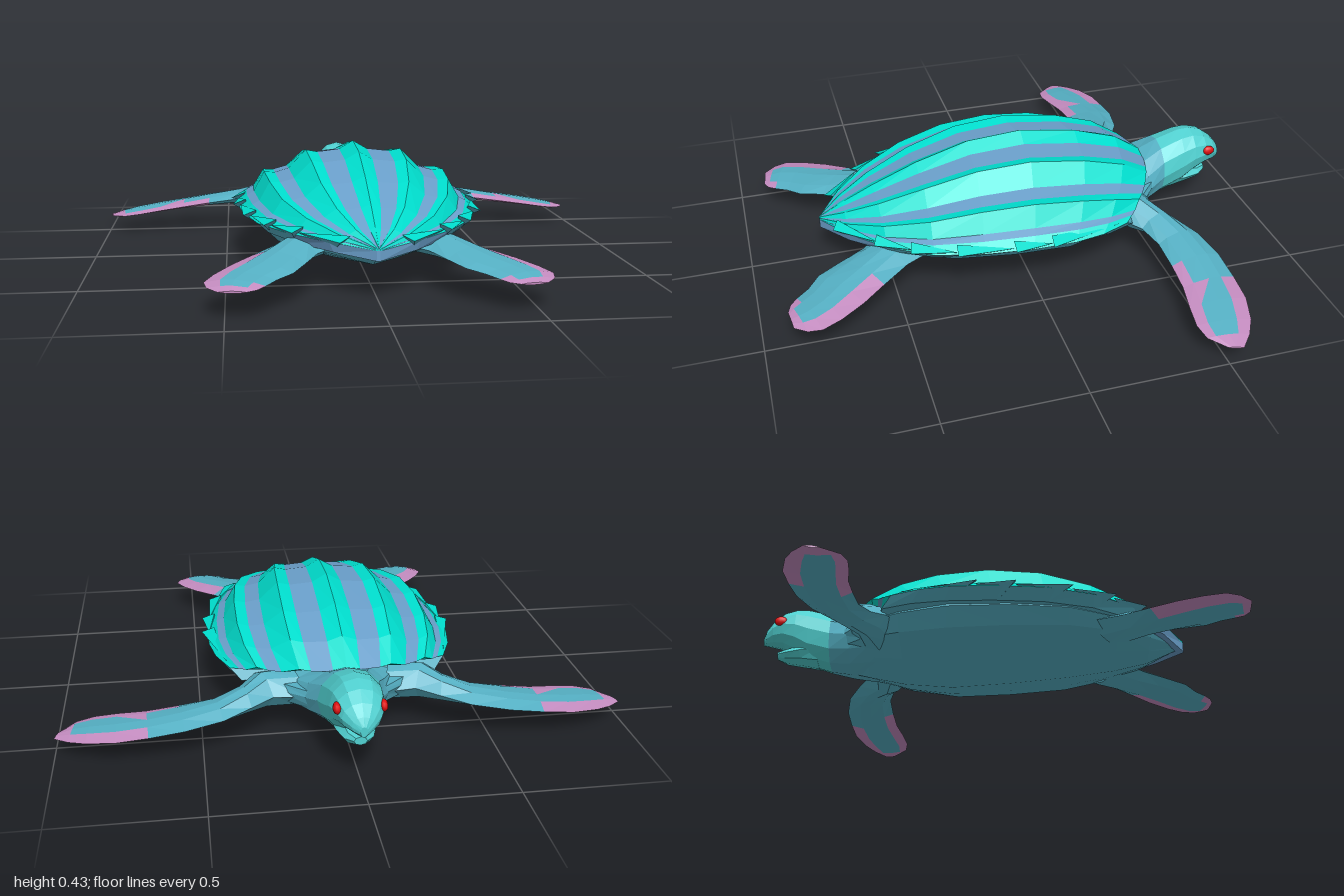
import * as THREE from 'three';

const COLORS = {
  shellTeal: 0x00dece, shellBlue: 0x6a9fca, skinBlue: 0x55b0c4,
  headTeal: 0x50d0d0, flipperPink: 0xc48cc0, eyeRed: 0xe01010,
};
const MAT = {};

// Skins a row of equal-length rings with flat facets; pick(i, j, half) names the colour of a facet.
function loft(name, rings, pick) {
  const byColor = {};
  let volume = 0;
  const tri = (color, a, b, c) => {
    (byColor[color] ||= []).push([a, b, c]);
    volume += a.dot(b.clone().cross(c));
  };
  const n = rings[0].length;
  for (let i = 0; i < rings.length - 1; i++) {
    for (let j = 0; j < n; j++) {
      const k = (j + 1) % n;
      tri(pick(i, j, 0), rings[i][j], rings[i + 1][j], rings[i + 1][k]);
      tri(pick(i, j, 1), rings[i][j], rings[i + 1][k], rings[i][k]);
    }
  }
  // End caps
  [0, rings.length - 1].forEach((i) => {
    const mid = rings[i].reduce((s, p) => s.add(p), new THREE.Vector3()).divideScalar(n);
    for (let j = 0; j < n; j++) {
      const a = rings[i][j], b = rings[i][(j + 1) % n];
      const color = pick(Math.min(i, rings.length - 2), j, 0);
      if (i === 0) tri(color, mid, a, b); else tri(color, mid, b, a);
    }
  });
  const geo = new THREE.BufferGeometry(), pos = [], mats = [];
  for (const color in byColor) {
    geo.addGroup(pos.length / 3, byColor[color].length * 3, mats.length);
    mats.push(MAT[color]);
    for (const [a, b, c] of byColor[color]) {
      for (const p of volume < 0 ? [a, c, b] : [a, b, c]) pos.push(p.x, p.y, p.z);
    }
  }
  geo.setAttribute('position', new THREE.Float32BufferAttribute(pos, 3));
  geo.computeVertexNormals();
  const mesh = new THREE.Mesh(geo, mats);
  mesh.name = name;
  return mesh;
}

const V = (x, y, z) => new THREE.Vector3(x, y, z);

// Shell stations: z, half width, ridge height, rim height, backward bow of the edge
const SHELL = [
  [-0.56, 0.39, 0.265, 0.2, 0.2], [-0.45, 0.435, 0.34, 0.2, 0.2], [-0.28, 0.455, 0.395, 0.2, 0.14],
  [-0.06, 0.455, 0.43, 0.2, 0.08], [0.15, 0.435, 0.415, 0.2, 0.05], [0.35, 0.385, 0.355, 0.195, 0.02],
  [0.52, 0.285, 0.285, 0.19, 0], [0.64, 0.155, 0.228, 0.183, 0], [0.73, 0.006, 0.18, 0.17, 0],
];
// Ridged half section: share of width, share of height
const RIDGES = [
  [0, 1], [0.12, 0.86], [0.31, 0.82], [0.41, 0.86], [0.56, 0.56], [0.68, 0.5],
  [0.77, 0.52], [0.86, 0.2], [0.92, 0.14], [1, 0],
];
const STRIPES = ['shellTeal', 'shellBlue', 'shellTeal', 'shellTeal', 'shellBlue',
  'shellTeal', 'shellTeal', 'shellBlue', 'shellTeal'];

function makeShell() {
  const half = RIDGES.length - 1;
  const rings = SHELL.map(([z, w, top, rim, bow]) => {
    const at = (u, h, s) => V(s * u * w, rim + (top - rim) * h, z + bow * u * u);
    const ring = [];
    for (let k = -half; k <= half; k++) ring.push(at(...RIDGES[Math.abs(k)], Math.sign(k)));
    // Turned-under lip
    for (const s of [1, -1]) ring.push(V(s * 0.9 * w, rim - 0.035, z + bow * 0.81));
    return ring;
  });
  return loft('shell', rings, (i, j) => {
    if (j >= 2 * half) return i > 5 ? 'shellBlue' : 'skinBlue';
    return STRIPES[j < half ? half - 1 - j : j - half];
  });
}

// Backward-pointing rim scutes, placed between shares of the rim length
const SCUTES = [0.03, 0.25, 0.36, 0.52, 0.65, 0.76, 0.91];
function makeScutes(s) {
  const group = new THREE.Group();
  group.name = s > 0 ? 'leftRimScutes' : 'rightRimScutes';
  const edge = new THREE.CatmullRomCurve3(
    SHELL.map(([z, w, , rim, bow]) => V(s * w * 0.985, rim, z + bow)));
  for (let i = 0; i < SCUTES.length - 1; i++) {
    const a = edge.getPointAt(SCUTES[i]), b = edge.getPointAt(SCUTES[i + 1]);
    const dir = b.clone().sub(a).normalize();
    const out = V(s * Math.abs(dir.z), 0, Math.abs(dir.x)).multiplyScalar(0.028);
    const tip = b.clone().add(out).add(V(0, 0.012, 0));
    const low = a.clone().lerp(b, 0.6).add(V(-s * 0.03, -0.03, 0));
    a.y += 0.01;
    b.y += 0.03;
    b.x -= s * 0.02;
    group.add(loft('scute', [[a, b, low], [tip, tip, tip]], (_, j) => j === 0 ? 'shellTeal' : 'skinBlue'));
  }
  return group;
}

// Belly stations: z, half width, keel height, rim height
function makeBelly() {
  const rings = [
    [-0.58, 0.13, 0.07, 0.19], [-0.48, 0.25, 0.045, 0.19], [-0.34, 0.34, 0.015, 0.19],
    [-0.16, 0.4, 0, 0.19], [0.06, 0.4, 0.014, 0.19], [0.28, 0.37, 0.035, 0.185],
    [0.46, 0.28, 0.06, 0.18], [0.59, 0.17, 0.09, 0.175], [0.71, 0.02, 0.145, 0.17],
  ].map(([z, w, y, rim]) => {
    const side = [[0.45, 0.24], [0.84, 0.5], [0.97, 0.82], [0.92, 1]]
      .map(([u, h]) => V(u * w, y + (rim - y) * h, z));
    const other = side.map((p) => V(-p.x, p.y, p.z)).reverse();
    return [V(0, y, z), ...side, ...other];
  });
  return loft('belly', rings, () => 'skinBlue');
}

// Rounded rings along z: z, half width, bottom, top
function roundLoft(name, rows, pick, sides) {
  return loft(name, rows.map(([z, w, lo, hi]) => Array.from({ length: sides }, (_, k) => {
    const a = (k / sides) * Math.PI * 2 + Math.PI / 2;
    return V(w * Math.cos(a), (lo + hi) / 2 + ((hi - lo) / 2) * Math.sin(a), z);
  })), pick);
}

function makeHead() {
  const head = new THREE.Group();
  head.name = 'head';
  head.add(roundLoft('neckAndSkull', [
    [-0.38, 0.25, 0.06, 0.23], [-0.47, 0.195, 0.055, 0.24], [-0.55, 0.152, 0.058, 0.265],
    [-0.63, 0.113, 0.07, 0.3], [-0.72, 0.1, 0.1, 0.328], [-0.77, 0.093, 0.14, 0.33],
    [-0.82, 0.083, 0.17, 0.315], [-0.86, 0.066, 0.18, 0.285], [-0.89, 0.038, 0.185, 0.25],
    [-0.905, 0.012, 0.185, 0.222],
  ], (i) => i < 3 ? 'skinBlue' : 'headTeal', 12));
  head.add(roundLoft('lowerJaw', [
    [-0.68, 0.075, 0.085, 0.19], [-0.75, 0.068, 0.1, 0.175],
    [-0.81, 0.05, 0.11, 0.16], [-0.845, 0.022, 0.125, 0.155],
  ], () => 'headTeal', 8));
  for (const s of [1, -1]) {
    const eye = new THREE.Mesh(new THREE.SphereGeometry(0.023, 10, 8), MAT.eyeRed);
    eye.name = s > 0 ? 'leftEye' : 'rightEye';
    eye.position.set(s * 0.076, 0.256, -0.828);
    eye.scale.set(0.6, 0.85, 1.1);
    head.add(eye);
  }
  return head;
}

// Flipper stations: leading x, z, trailing x, z, height, thickness; pink margins start per edge
function makeFlipper(name, rows, s, pink) {
  const section = [[0, 0], [0.27, 0.8], [0.5, 1], [0.8, 0.65], [1, 0], [0.8, -0.65], [0.5, -1], [0.27, -0.8]];
  const rings = rows.map(([ax, az, bx, bz, y, t]) => section.map(([u, h]) =>
    V(s * (ax + (bx - ax) * u), y + (h * t) / 2, az + (bz - az) * u)));
  return loft(name, rings, (i, j, half) => {
    const start = j === 0 || j === 7 ? pink.lead : j === 3 || j === 4 ? pink.trail : pink.tip;
    const notch = i === pink.notch && j === 2 && half === 1;
    return i >= start || notch ? 'flipperPink' : 'skinBlue';
  });
}

const FRONT = [
  [0.14, -0.53, 0.2, -0.32, 0.15, 0.13], [0.25, -0.525, 0.32, -0.38, 0.155, 0.13],
  [0.33, -0.575, 0.37, -0.43, 0.145, 0.09], [0.43, -0.63, 0.46, -0.46, 0.13, 0.06],
  [0.56, -0.658, 0.58, -0.462, 0.115, 0.045], [0.68, -0.66, 0.69, -0.458, 0.1, 0.035],
  [0.79, -0.655, 0.79, -0.44, 0.088, 0.03], [0.89, -0.625, 0.87, -0.43, 0.077, 0.025],
  [0.95, -0.59, 0.93, -0.442, 0.068, 0.02], [1, -0.545, 0.985, -0.495, 0.06, 0.008],
];
const REAR = [
  [0.28, 0.36, 0.1, 0.5, 0.14, 0.09], [0.33, 0.46, 0.19, 0.6, 0.135, 0.08],
  [0.41, 0.56, 0.235, 0.69, 0.125, 0.055], [0.48, 0.645, 0.28, 0.775, 0.115, 0.042],
  [0.535, 0.73, 0.335, 0.82, 0.106, 0.035], [0.565, 0.8, 0.37, 0.865, 0.1, 0.03],
  [0.555, 0.85, 0.395, 0.89, 0.095, 0.022], [0.52, 0.893, 0.43, 0.903, 0.092, 0.008],
];

export function createModel() {
  for (const name in COLORS) {
    MAT[name] = new THREE.MeshStandardMaterial({ color: COLORS[name] });
    MAT[name].name = name;
  }
  const turtle = new THREE.Group();
  turtle.name = 'turtle';
  turtle.add(makeShell(), makeBelly(), makeHead());
  for (const s of [1, -1]) {
    const side = s > 0 ? 'left' : 'right';
    turtle.add(makeScutes(s));
    turtle.add(makeFlipper(side + 'FrontFlipper', FRONT, s, { lead: 5, trail: 4, tip: 8, notch: 5 }));
    turtle.add(makeFlipper(side + 'RearFlipper', REAR, s, { lead: 2, trail: 5, tip: 6 }));
  }
  return turtle;
}
